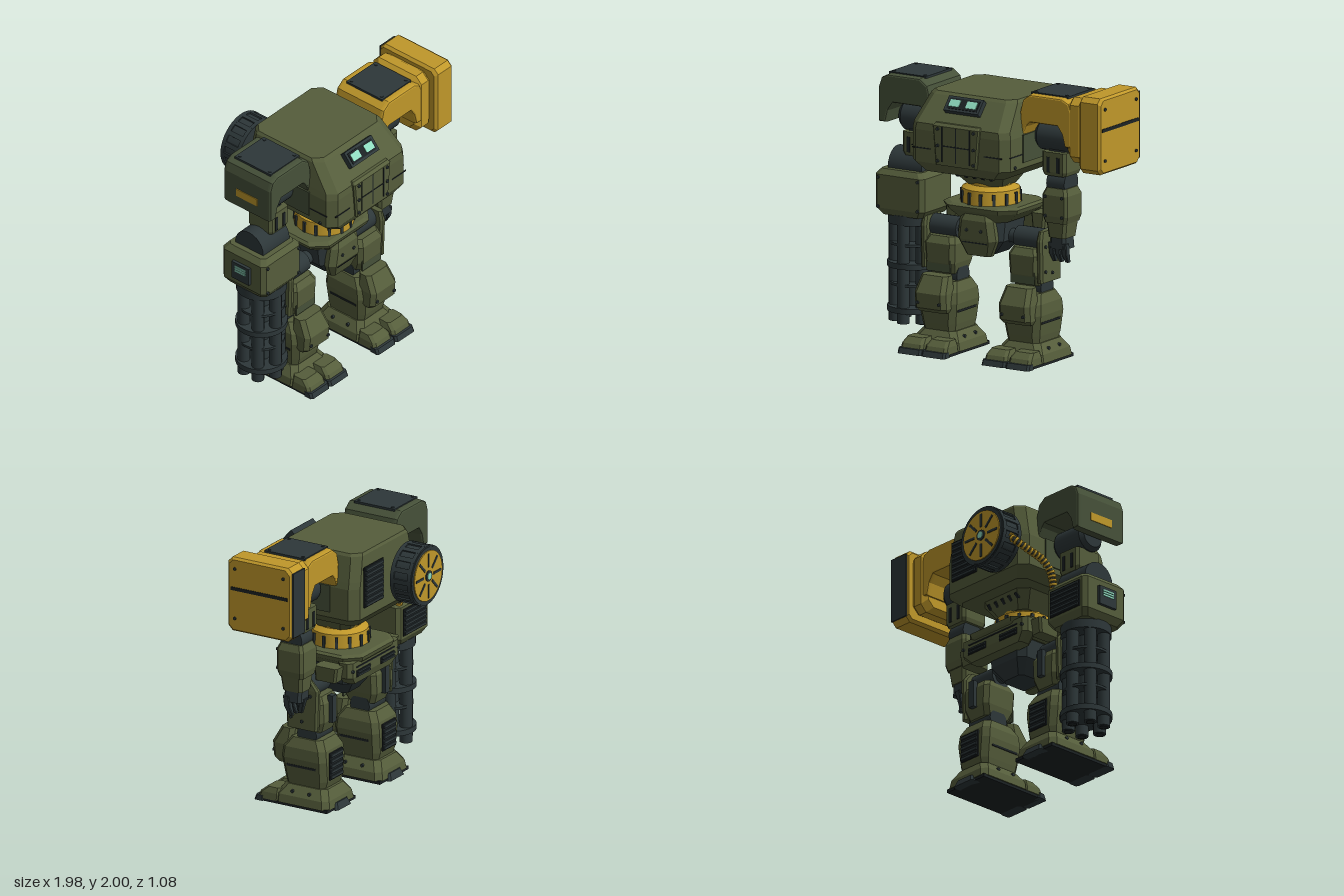
import * as THREE from 'three';

const paint = (name, color) => {
  const m = new THREE.MeshStandardMaterial({ color });
  m.name = name;
  return m;
};

// Flat-shaded solid through chamfered rectangles: [y, xCentre, halfWidth, z0, z1, chamfer]
function loftGeometry(sections) {
  const rings = sections.map(([y, x, w, z0, z1, c]) => [
    [x + w, y, z0 + c], [x + w, y, z1 - c], [x + w - c, y, z1], [x - w + c, y, z1],
    [x - w, y, z1 - c], [x - w, y, z0 + c], [x - w + c, y, z0], [x + w - c, y, z0]]);
  const v = [];
  const tri = (...p) => p.forEach((q) => v.push(...q));
  for (let k = 0; k < rings.length - 1; k++) {
    for (let i = 0; i < 8; i++) {
      const j = (i + 1) % 8, a = rings[k], b = rings[k + 1];
      tri(a[i], b[i], b[j]);
      tri(a[i], b[j], a[j]);
    }
  }
  const top = rings[rings.length - 1];
  for (let i = 1; i < 7; i++) {
    tri(rings[0][0], rings[0][i], rings[0][i + 1]);
    tri(top[0], top[i + 1], top[i]);
  }
  const g = new THREE.BufferGeometry();
  g.setAttribute('position', new THREE.Float32BufferAttribute(v, 3));
  g.computeVertexNormals();
  return g;
}

export function createModel() {
  const root = new THREE.Group();
  root.name = 'walkerRobot';
  const green = paint('olive green', 0x555d3b), moss = paint('dark olive', 0x465139);
  const yellow = paint('hazard yellow', 0xc0982a), dark = paint('gunmetal', 0x2d3739);
  const black = paint('near black', 0x1c2224), glow = paint('pale cyan', 0x8fdcc0);
  const C = -0.1, Z = 0.065; // body centre line and limb depth

  const add = (name, mat, geo, x = 0, y = 0, z = 0) => {
    const m = new THREE.Mesh(geo, mat);
    m.name = name;
    m.position.set(x, y, z);
    root.add(m);
    return m;
  };
  const box = (name, mat, w, h, d, x, y, z) => add(name, mat, new THREE.BoxGeometry(w, h, d), x, y, z);
  const loft = (name, mat, s) => add(name, mat, loftGeometry(s));
  const cyl = (name, mat, r0, r1, h, x, y, z, axis = 'y', seg = 24) => {
    const g = new THREE.CylinderGeometry(r0, r1, h, seg);
    if (axis === 'x') g.rotateZ(-Math.PI / 2);
    if (axis === 'z') g.rotateX(Math.PI / 2);
    return add(name, mat, g, x, y, z);
  };
  const bolt = (x, y, z, axis) => cyl('bolt', dark, 0.012, 0.012, 0.016, x, y, z, axis, 8);
  const vent = (name, w, h, x, y, z, n) => {
    box(name, black, w, h, 0.012, x, y, z);
    for (let i = 0; i < n; i++) box(name + 'Slat', dark, w * 0.92, h / n * 0.5, 0.03, x, y + h * ((i + 0.5) / n - 0.5), z);
  };

  // Torso
  loft('torso', green, [[1.35, C, 0.33, -0.25, 0.47, 0.05], [1.42, C, 0.41, -0.31, 0.51, 0.06],
    [1.65, C, 0.41, -0.31, 0.51, 0.06], [1.7, C, 0.4, -0.31, 0.505, 0.06],
    [1.88, C, 0.36, -0.3, 0.345, 0.06], [1.9, C, 0.345, -0.29, 0.32, 0.06]]);
  loft('lowerTorso', green, [[1.23, C, 0.15, -0.07, 0.21, 0.05], [1.36, C, 0.24, -0.15, 0.35, 0.07]]);
  for (let i = -2; i <= 2; i++) {
    for (const s of [-1, 1]) {
      const slot = box('lowerTorsoSlot', black, 0.022, 0.045, 0.012, C + i * 0.07, 1.31, s > 0 ? 0.298 : -0.119);
      slot.rotation.x = s * 0.8;
    }
  }
  // Chest hatch
  loft('chestHatch', green, [[1.42, C, 0.17, 0.48, 0.53, 0.01], [1.7, C, 0.195, 0.48, 0.53, 0.01], [1.72, C, 0.185, 0.48, 0.51, 0.01]]);
  for (const s of [-1, 1]) {
    box('hatchSeam', black, 0.008, 0.25, 0.01, C + s * 0.115, 1.57, 0.528);
    box('chestSeam', black, 0.15, 0.008, 0.008, C + s * 0.3, 1.52, 0.51);
    for (const y of [1.45, 1.56, 1.68]) bolt(C + s * 0.15, y, 0.533, 'z');
    box('torsoSidePanel', moss, 0.02, 0.2, 0.4, C + s * 0.41, 1.56, 0.1);
    box('torsoSideSeam', black, 0.008, 0.008, 0.16, C + s * 0.41, 1.52, 0.38);
    bolt(C + s * 0.413, 1.44, 0.4, 'x');
  }
  box('hatchSeam', black, 0.008, 0.25, 0.01, C, 1.57, 0.528);
  box('hatchSeam', black, 0.23, 0.008, 0.01, C, 1.56, 0.528);
  // Visor, tilted to the slope
  const visor = new THREE.Group();
  visor.name = 'visor';
  visor.position.set(C, 1.83, 0.405);
  visor.rotation.x = -0.72;
  const part = (name, mat, w, h, d, x, z) => {
    const m = box(name, mat, w, h, d, x, 0, z);
    visor.add(m);
  };
  part('visorFrame', dark, 0.29, 0.12, 0.06, 0, 0);
  part('visorRecess', black, 0.25, 0.085, 0.008, 0, 0.03);
  for (const s of [-1, 1]) part('eye', glow, 0.085, 0.055, 0.008, s * 0.07, 0.035);
  root.add(visor);
  vent('backVent', 0.25, 0.3, 0.085, 1.65, -0.32, 8);

  // Ammunition drum and feed belt
  const dx = -0.31, dy = 1.62;
  cyl('drumMount', dark, 0.13, 0.13, 0.08, dx, dy, -0.32, 'z');
  cyl('drum', dark, 0.21, 0.21, 0.17, dx, dy, -0.435, 'z', 32);
  for (const z of [-0.36, -0.5]) cyl('drumRim', dark, 0.22, 0.22, 0.03, dx, dy, z, 'z', 32);
  cyl('drumFace', yellow, 0.185, 0.185, 0.012, dx, dy, -0.522, 'z', 32);
  for (let i = 0; i < 8; i++) {
    const a = i * Math.PI / 4;
    box('drumSpoke', dark, 0.1, 0.018, 0.012, dx + Math.cos(a) * 0.115, dy + Math.sin(a) * 0.115, -0.526).rotation.z = a;
  }
  for (let i = 0; i < 16; i++) {
    const a = i * Math.PI / 8;
    box('drumRib', dark, 0.02, 0.035, 0.16, dx + Math.cos(a) * 0.209, dy + Math.sin(a) * 0.209, -0.435).rotation.z = a;
  }
  cyl('drumHub', dark, 0.04, 0.04, 0.02, dx, dy, -0.525, 'z', 16);
  cyl('drumLight', glow, 0.025, 0.025, 0.01, dx, dy, -0.534, 'z', 16);
  const belt = new THREE.CatmullRomCurve3([[-0.48, 1.6, -0.43], [-0.54, 1.54, -0.41], [-0.57, 1.49, -0.32],
    [-0.59, 1.44, -0.2], [-0.6, 1.36, -0.13], [-0.6, 1.24, -0.1]].map((p) => new THREE.Vector3(...p)));
  add('feedBelt', dark, new THREE.TubeGeometry(belt, 30, 0.018, 8));
  for (let i = 0; i <= 18; i++) {
    const link = cyl('beltLink', yellow, 0.03, 0.03, 0.018, 0, 0, 0, 'y', 8);
    link.position.copy(belt.getPointAt(i / 18));
    link.quaternion.setFromUnitVectors(new THREE.Vector3(0, 1, 0), belt.getTangentAt(i / 18));
  }

  // Waist ring
  cyl('waistRing', yellow, 0.205, 0.215, 0.12, C, 1.14, 0.075, 'y', 32);
  cyl('waistCollar', yellow, 0.15, 0.2, 0.03, C, 1.215, 0.075, 'y', 32);
  cyl('waistNeck', yellow, 0.155, 0.155, 0.06, C, 1.24, 0.075, 'y', 32);
  for (let i = 0; i < 14; i++) {
    const a = (i + 0.5) / 14 * Math.PI * 2;
    box('waistSlot', dark, 0.022, 0.085, 0.014, C + Math.sin(a) * 0.212, 1.14, 0.075 + Math.cos(a) * 0.212).rotation.y = a;
  }

  // Pelvis
  loft('hipPlate', green, [[0.98, C, 0.2, -0.16, 0.24, 0.07], [1.055, C, 0.3, -0.235, 0.3, 0.1],
    [1.085, C, 0.31, -0.245, 0.31, 0.1], [1.1, C, 0.29, -0.22, 0.28, 0.1]]);
  loft('pelvis', dark, [[0.74, C, 0.1, -0.04, 0.2, 0.03], [0.84, C, 0.18, -0.11, 0.24, 0.05], [1.0, C, 0.19, -0.12, 0.23, 0.05]]);
  loft('frontSkirt', green, [[0.73, C, 0.1, 0.17, 0.25, 0.02], [0.85, C, 0.16, 0.18, 0.295, 0.04],
    [0.99, C, 0.14, 0.18, 0.3, 0.04], [1.04, C, 0.11, 0.18, 0.28, 0.03]]);
  for (const s of [-1, 1]) bolt(C + s * 0.06, 0.92, 0.298, 'z');
  box('frontSkirtSeam', black, 0.2, 0.008, 0.008, C, 0.83, 0.288);
  loft('rearSkirt', green, [[0.89, C, 0.26, -0.2, -0.1, 0.02], [0.95, C, 0.33, -0.22, -0.1, 0.03], [1.06, C, 0.33, -0.22, -0.1, 0.03]]);
  box('rearSkirtSeam', black, 0.5, 0.01, 0.008, C, 1.02, -0.221);
  for (const s of [-1, 1]) {
    vent('rearSkirtVent', 0.18, 0.05, C + s * 0.16, 0.97, -0.218, 2);
    bolt(C + s * 0.3, 1.0, -0.222, 'z');
  }

  for (const s of [-1, 1]) {
    // Legs
    const L = C + s * 0.352;
    cyl('hipJoint', dark, 0.08, 0.08, 0.24, C + s * 0.36, 0.87, 0.08, 'x');
    cyl('hipAxle', dark, 0.05, 0.05, 0.2, C + s * 0.2, 0.87, 0.08, 'x');
    loft('hipGuard', green, [[0.93, C + s * 0.36, 0.05, -0.14, 0.03, 0.015], [1.04, C + s * 0.36, 0.06, -0.16, 0.03, 0.015]]);
    loft('thigh', green, [[0.55, L, 0.1, -0.04, 0.18, 0.03], [0.63, L, 0.12, -0.07, 0.215, 0.03],
      [0.77, L, 0.128, -0.07, 0.22, 0.03], [0.82, L, 0.105, -0.04, 0.19, 0.03]]);
    box('thighPanel', moss, 0.2, 0.09, 0.01, L, 0.61, 0.207);
    loft('thighSidePlate', green, [[0.58, C + s * 0.485, 0.025, -0.05, 0.2, 0.015], [0.88, C + s * 0.485, 0.025, -0.06, 0.21, 0.015],
      [0.95, C + s * 0.485, 0.02, 0.0, 0.19, 0.015]]);
    for (const [y, z] of [[0.66, 0.16], [0.64, 0.07], [0.84, 0.16], [0.84, 0]]) bolt(C + s * 0.512, y, z, 'x');
    box('thighRearStrut', dark, 0.05, 0.2, 0.04, L, 0.72, -0.08);
    cyl('kneeJoint', dark, 0.08, 0.08, 0.22, L, 0.53, 0.06, 'x');
    loft('shin', green, [[0.12, L, 0.125, -0.08, 0.22, 0.03], [0.2, L, 0.14, -0.105, 0.24, 0.04], [0.35, L, 0.16, -0.11, 0.26, 0.04],
      [0.43, L, 0.155, -0.1, 0.25, 0.04], [0.5, L, 0.125, -0.06, 0.2, 0.04]]);
    loft('kneePad', green, [[0.29, L, 0.115, 0.2, 0.3, 0.02], [0.32, L, 0.13, 0.2, 0.335, 0.03],
      [0.43, L, 0.13, 0.18, 0.345, 0.03], [0.55, L, 0.11, 0.17, 0.28, 0.03]]);
    for (const t of [-1, 1]) {
      bolt(L + t * 0.09, 0.36, 0.342, 'z');
      box('shinSeam', black, 0.008, 0.016, 0.24, L + t * 0.153, 0.295, 0.08);
    }
    vent('calfVent', 0.17, 0.2, L, 0.31, -0.112, 5);
    // Feet
    box('sole', black, 0.38, 0.025, 0.55, L, 0.0125, 0.12);
    loft('foot', green, [[0.02, L, 0.2, -0.16, 0.28, 0.04], [0.08, L, 0.19, -0.15, 0.28, 0.04], [0.15, L, 0.14, -0.11, 0.23, 0.04]]);
    for (const t of [-1, 1]) {
      const T = L + t * 0.1;
      loft('toe', green, [[0.02, T, 0.096, 0.24, 0.42, 0.02], [0.07, T, 0.09, 0.24, 0.4, 0.02], [0.11, T, 0.075, 0.24, 0.35, 0.02]]);
      loft('toeCap', dark, [[0, T, 0.099, 0.36, 0.445, 0.015], [0.04, T, 0.097, 0.36, 0.43, 0.015]]);
      for (const z of [0.0, 0.14]) bolt(L + t * 0.172, 0.11, z, 'x');
    }
    loft('heel', dark, [[0, L, 0.1, -0.185, -0.1, 0.015], [0.05, L, 0.08, -0.165, -0.1, 0.015]]);

    // Shoulder pads: arched profile, u runs outward
    const S = C + s * 0.595;
    const pts = [[-0.195, 1.66], [-0.205, 1.82], [-0.185, 1.9], [-0.13, 1.94], [0.13, 1.94], [0.18, 1.915], [0.2, 1.86],
      [0.2, 1.62], [0.165, 1.62], [0.145, 1.7], [0.1, 1.765], [-0.14, 1.765], [-0.17, 1.73]];
    const shape = new THREE.Shape(pts.map(([u, y]) => new THREE.Vector2(s * u, y)));
    const pad = new THREE.ExtrudeGeometry(shape, { depth: 0.38, bevelThickness: 0.03, bevelSize: 0.015, bevelSegments: 3 });
    add('shoulderPad', s > 0 ? yellow : moss, pad, S, 0, Z - 0.19);
    box('shoulderTopPlate', dark, 0.31, 0.016, 0.335, S, 1.955, Z);
    for (const t of [-1, 1]) for (const r of [-1, 1]) bolt(S + t * 0.13, 1.96, Z + r * 0.14, 'y');

    // Arms
    const A = C + s * 0.585;
    cyl('shoulderJoint', dark, 0.11, 0.11, 0.25, C + s * 0.57, 1.63, Z, 'x');
    for (const t of [-1, 1]) cyl('shoulderJointCap', dark, t > 0 ? 0.085 : 0.11, t > 0 ? 0.11 : 0.085, 0.03, C + s * 0.57 + t * 0.14, 1.63, Z, 'x');
    cyl('shoulderAxle', dark, 0.08, 0.08, 0.12, C + s * 0.41, 1.62, Z, 'x');
    box('armCore', dark, 0.13, 0.3, 0.13, A, 1.48, Z);
    loft('upperArm', green, [[1.36, A, 0.09, Z - 0.1, Z + 0.1, 0.02], [1.39, A, 0.1, Z - 0.11, Z + 0.11, 0.02], [1.53, A, 0.1, Z - 0.11, Z + 0.11, 0.02]]);
    for (const t of [-1, 1]) for (const r of [-1, 1]) box('upperArmSlot', black, 0.025, 0.11, 0.01, A + t * 0.04, 1.44, Z + r * 0.11);
  }

  // Left forearm and hand
  const H = 0.49;
  cyl('elbow', dark, 0.09, 0.09, 0.15, H, 1.3, Z, 'x');
  loft('forearm', green, [[1.02, H, 0.09, Z - 0.1, Z + 0.1, 0.02], [1.07, H, 0.105, Z - 0.11, Z + 0.11, 0.02],
    [1.22, H, 0.105, Z - 0.11, Z + 0.11, 0.02], [1.27, H, 0.085, Z - 0.09, Z + 0.09, 0.02]]);
  loft('cuff', green, [[0.91, H, 0.07, Z - 0.08, Z + 0.08, 0.02], [1.02, H, 0.085, Z - 0.09, Z + 0.09, 0.02]]);
  for (const y of [1.07, 1.21]) for (const t of [-1, 1]) bolt(H + t * 0.07, y, Z + 0.112, 'z');
  loft('palm', dark, [[0.83, H, 0.07, Z - 0.07, Z + 0.07, 0.02], [0.93, H, 0.06, Z - 0.07, Z + 0.07, 0.02]]);
  for (let i = -1; i <= 1; i++) {
    loft('finger', dark, [[0.73, H + i * 0.053, 0.013, Z - 0.01, Z + 0.025, 0.005], [0.79, H + i * 0.053, 0.021, Z + 0.01, Z + 0.06, 0.006], [0.87, H + i * 0.053, 0.022, Z + 0.02, Z + 0.07, 0.006]]);
  }
  loft('thumb', dark, [[0.74, H, 0.014, Z - 0.05, Z - 0.02, 0.005], [0.85, H, 0.024, Z - 0.08, Z - 0.03, 0.006]]);

  // Left shoulder pod, lofted upward and turned to face outward
  const pod = (name, s) => add(name, yellow, loftGeometry(s).rotateZ(-Math.PI / 2), 0, 1.725, 0);
  pod('podNeck', [[0.66, -0.01, 0.2, -0.13, 0.25, 0.05], [0.7, -0.01, 0.235, -0.165, 0.285, 0.05], [0.77, -0.01, 0.235, -0.165, 0.285, 0.05], [0.81, -0.01, 0.21, -0.14, 0.26, 0.05]]);
  pod('pod', [[0.8, 0, 0.255, -0.185, 0.315, 0.03], [0.82, 0, 0.275, -0.195, 0.335, 0.035], [0.96, 0, 0.275, -0.195, 0.335, 0.035], [0.98, 0, 0.26, -0.18, 0.32, 0.035]]);
  box('podBackPlate', dark, 0.155, 0.48, 0.012, 0.89, 1.725, -0.199);
  box('podSlot', black, 0.01, 0.025, 0.47, 0.979, 1.77, 0.07);
  for (const y of [1.55, 1.92]) for (const z of [-0.13, 0.27]) bolt(0.982, y, z, 'x');

  // Right gun arm
  const G = -0.755;
  cyl('gunElbow', dark, 0.13, 0.13, 0.28, G + 0.01, 1.27, Z, 'x');
  loft('gunHousing', green, [[0.93, G, 0.17, Z - 0.17, Z + 0.17, 0.03], [0.98, G, 0.205, Z - 0.2, Z + 0.2, 0.03],
    [1.22, G, 0.205, Z - 0.2, Z + 0.2, 0.03], [1.26, G, 0.17, Z - 0.17, Z + 0.17, 0.03]]);
  vent('gunVent', 0.3, 0.2, G, 1.1, Z - 0.202, 6);
  box('gunSidePanel', dark, 0.03, 0.14, 0.16, G - 0.213, 1.1, Z);
  for (let i = 0; i < 3; i++) box('gunIndicator', glow, 0.008, 0.012, 0.1, G - 0.228, 1.14 - i * 0.018, Z);
  for (const y of [0.99, 1.2]) for (const t of [-1, 1]) bolt(G + t * 0.165, y, Z + 0.203, 'z');
  cyl('gunCollar', dark, 0.18, 0.18, 0.07, G, 0.9, Z, 'y', 32);
  cyl('gunSpindle', dark, 0.06, 0.06, 0.6, G, 0.56, Z);
  for (let i = 0; i < 6; i++) {
    const a = (i + 0.5) * Math.PI / 3, x = G + Math.sin(a + Math.PI / 6) * 0.13, z = Z + Math.cos(a + Math.PI / 6) * 0.13;
    cyl('barrel', dark, 0.045, 0.045, 0.76, x, 0.535, z, 'y', 16);
    cyl('muzzle', black, 0.03, 0.03, 0.006, x, 0.153, z, 'y', 16);
  }
  for (const [y, r, h] of [[0.25, 0.185, 0.04], [0.57, 0.185, 0.04], [0.43, 0.165, 0.018], [0.72, 0.165, 0.018]]) cyl('barrelClamp', dark, r, r, h, G, y, Z, 'y', 32);
  box('shoulderStripe', yellow, 0.008, 0.06, 0.2, -0.911, 1.72, Z);
  return root;
}
